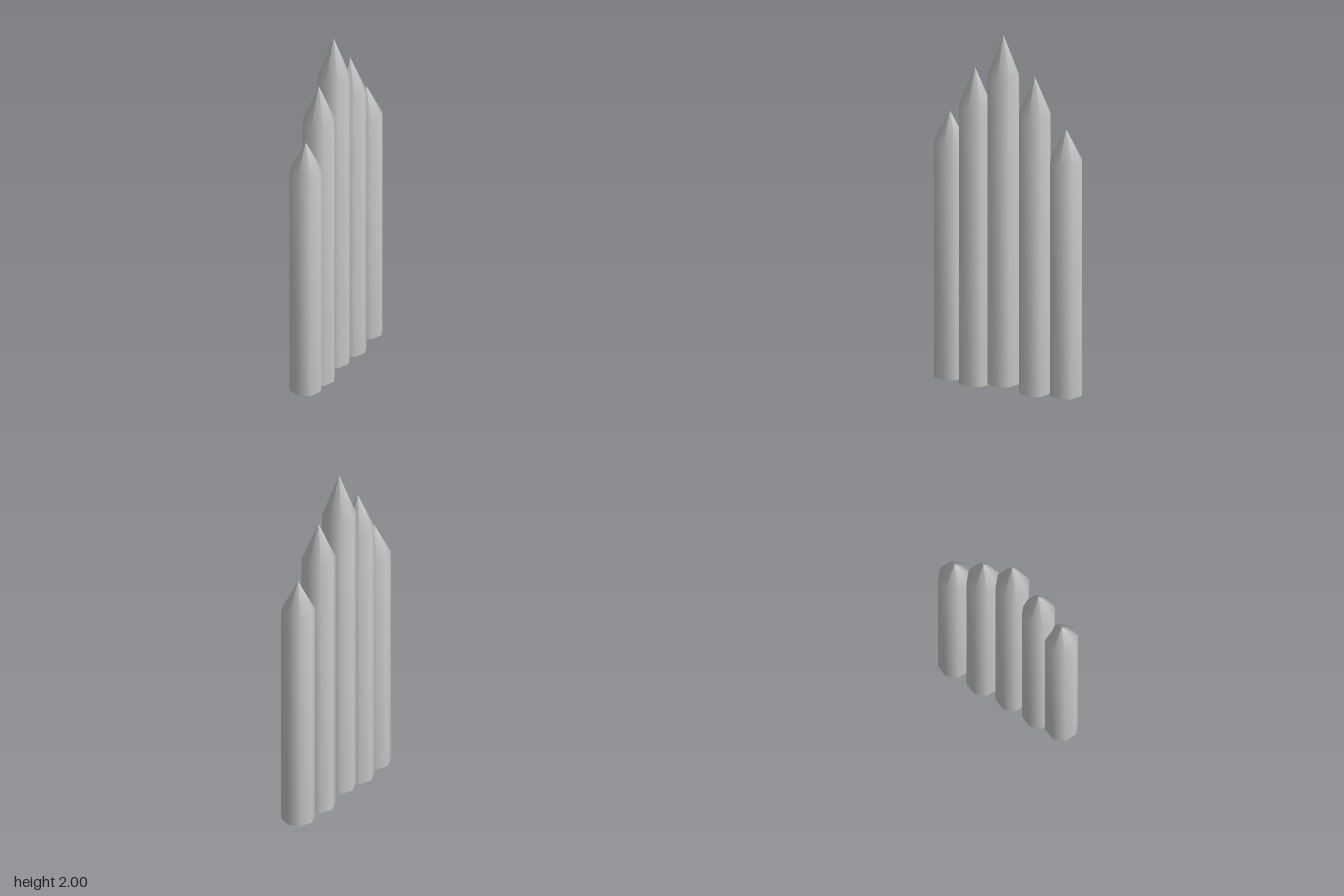
import * as THREE from 'three';

const RADIUS = 0.09;

// Eight-sided pointed stake, smoothly shaded over base, shaft and tip
function makePost(bottom, shoulder, tip) {
  const profile = [[0, bottom], [RADIUS, bottom], [RADIUS, shoulder], [0, tip]]
    .map(([r, y]) => new THREE.Vector2(r, y));
  return new THREE.LatheGeometry(profile, 8);
}

export function createModel() {
  const group = new THREE.Group();
  group.name = 'palisade';
  const material = new THREE.MeshStandardMaterial({ color: 0xcccccc });

  // name, z, bottom, shoulder, tip
  const posts = [
    ['frontOuterPost', 0.333, 0.015, 1.34, 1.52],
    ['frontInnerPost', 0.189, 0, 1.575, 1.79],
    ['middlePost', 0.026, 0.025, 1.76, 2],
    ['backInnerPost', -0.154, 0, 1.575, 1.79],
    ['backOuterPost', -0.334, 0.015, 1.34, 1.52],
  ];
  for (const [name, z, bottom, shoulder, tip] of posts) {
    const post = new THREE.Mesh(makePost(bottom, shoulder, tip), material);
    post.name = name;
    post.position.z = z;
    group.add(post);
  }
  return group;
}
